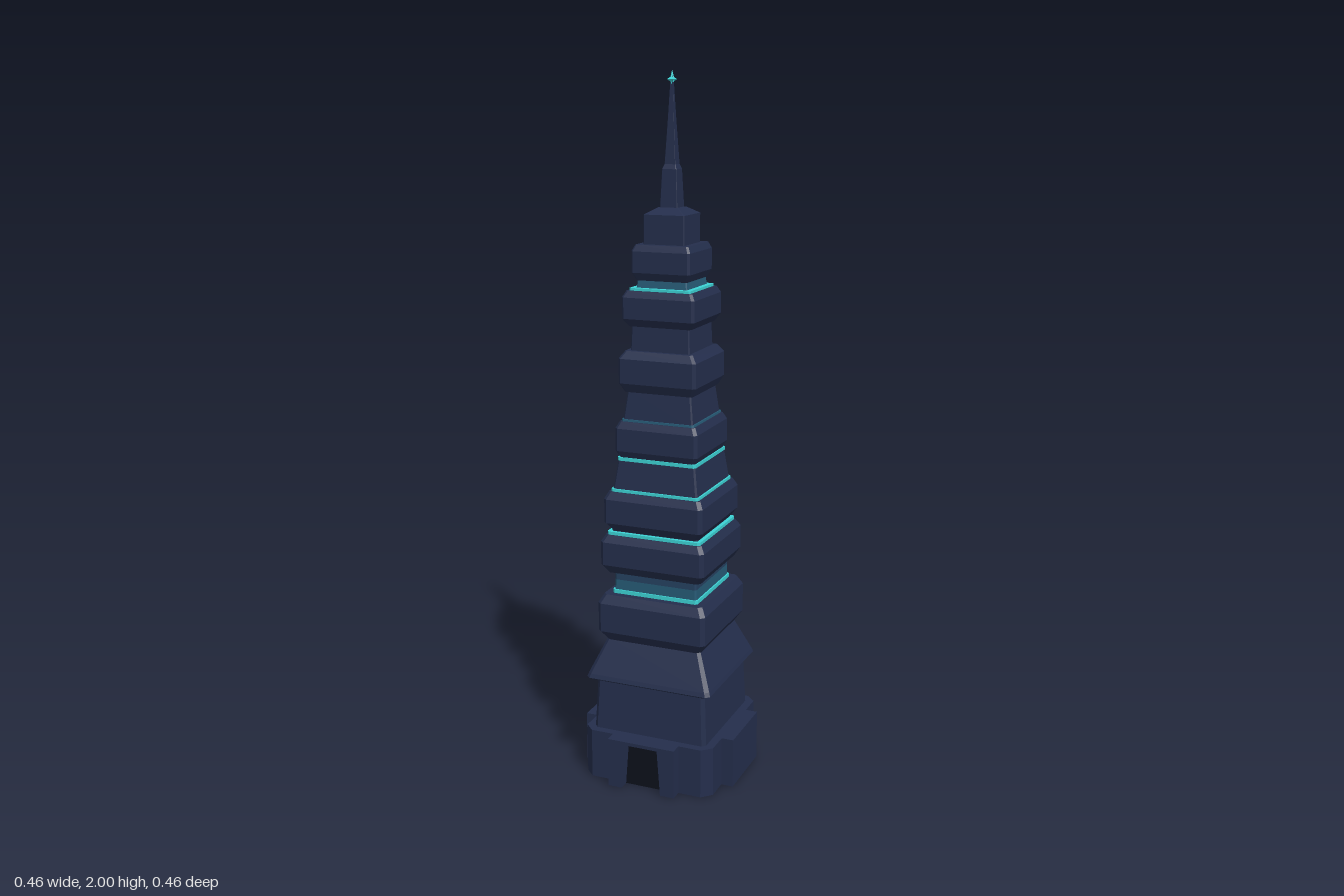
import * as THREE from 'three';

const mat = (name, color) => {
  const m = new THREE.MeshStandardMaterial({ color });
  m.name = name;
  return m;
};

// Flat-faced loft of square rings with cut corners; profile rows are [y, half width]
function loft(profile, cut) {
  const ring = ([y, w]) => {
    const c = w * (1 - cut);
    return [[w, -c], [w, c], [c, w], [-c, w], [-w, c], [-w, -c], [-c, -w], [c, -w]]
      .map(([x, z]) => [x, y, z]);
  };
  const rings = profile.map(ring);
  const out = [];
  const tri = (a, b, c) => out.push(...a, ...b, ...c);
  for (let i = 0; i < rings.length - 1; i++) {
    const lo = rings[i], hi = rings[i + 1];
    for (let j = 0; j < 8; j++) {
      const k = (j + 1) % 8;
      tri(lo[j], hi[j], hi[k]);
      tri(lo[j], hi[k], lo[k]);
    }
  }
  // End caps
  const first = rings[0], last = rings[rings.length - 1];
  for (let j = 1; j < 7; j++) {
    tri(first[0], first[j], first[j + 1]);
    tri(last[0], last[j + 1], last[j]);
  }
  const g = new THREE.BufferGeometry();
  g.setAttribute('position', new THREE.Float32BufferAttribute(out, 3));
  g.computeVertexNormals();
  return g;
}

export function createModel() {
  const navy = mat('navy cladding', 0x242e4c);
  const dark = mat('dark doorway', 0x0c101b);
  const teal = mat('teal glow', 0x3cd2d4);
  const dimTeal = mat('dim teal glass', 0x265a75);
  const deepTeal = mat('deep teal glass', 0x24405f);

  const tower = new THREE.Group();
  tower.name = 'tower';
  const add = (name, geometry, material, parent = tower) => {
    const mesh = new THREE.Mesh(geometry, material);
    mesh.name = name;
    parent.add(mesh);
    return mesh;
  };

  // Podium with cut corners
  const baseH = 0.145;
  add('podium', loft([[0, 0.197], [baseH, 0.197]], 0.14), navy);

  // Four porches; the front one has a doorway
  for (let i = 0; i < 4; i++) {
    const porch = new THREE.Group();
    porch.name = i === 0 ? 'frontPorch' : 'porch';
    porch.rotation.y = i * Math.PI / 2;
    const s = new THREE.Shape();
    s.moveTo(-0.102, 0);
    if (i === 0) {
      s.lineTo(-0.06, 0).lineTo(-0.05, 0.135).lineTo(0.05, 0.135).lineTo(0.06, 0);
    }
    s.lineTo(0.102, 0).lineTo(0.102, baseH).lineTo(-0.102, baseH).closePath();
    const g = new THREE.ExtrudeGeometry(s, { depth: 0.043, bevelEnabled: false });
    g.translate(0, 0, 0.189);
    add('porchWalls', g, navy, porch);
    if (i === 0) {
      const door = add('doorway', new THREE.BoxGeometry(0.124, 0.138, 0.004), dark, porch);
      door.position.set(0, 0.069, 0.198);
    }
    tower.add(porch);
  }

  // Lower shaft and flared skirt
  add('shaft', loft([[baseH, 0.173], [0.31, 0.165]], 0.06), navy);
  add('skirt', loft([[0.295, 0.178], [0.303, 0.19], [0.315, 0.186], [0.415, 0.143]], 0.06), navy);

  // Bulging tiers: bottom y, top y, half width, bottom and top half widths
  const tiers = [
    [0.41, 0.55, 0.164, 0.143, 0.15],
    [0.615, 0.727, 0.157, 0.142, 0.145],
    [0.737, 0.852, 0.149, 0.13, 0.138],
    [0.945, 1.052, 0.123, 0.112, 0.113],
    [1.135, 1.25, 0.115, 0.102, 0.1],
    [1.318, 1.416, 0.107, 0.093, 0.097],
    [1.443, 1.54, 0.086, 0.075, 0.078],
  ];
  for (const [y0, y1, w, w0, w1] of tiers) {
    const h = y1 - y0;
    add('tier', loft([[y0, w0], [y0 + h * 0.22, w], [y1 - h * 0.18, w], [y1, w1]], 0.07), navy);
  }

  // Recessed necks between tiers: bottom y, top y, bottom and top half widths
  const necks = [
    [0.725, 0.74, 0.13, 0.13],
    [0.852, 0.947, 0.128, 0.115],
    [1.05, 1.14, 0.105, 0.094],
    [1.245, 1.322, 0.088, 0.085],
  ];
  for (const [y0, y1, w0, w1] of necks) {
    add('neck', loft([[y0, w0], [y1, w1]], 0.04), navy);
  }

  // Glass bands, brighter towards the bottom
  add('glassBandLower', loft([[0.55, 0.126], [0.59, 0.125]], 0.04), dimTeal);
  add('glassBandUpper', loft([[0.59, 0.125], [0.62, 0.124]], 0.04), deepTeal);
  add('upperGlassBand', loft([[1.414, 0.076], [1.445, 0.072]], 0.04), dimTeal);

  // Thin glowing strips: centre y, half width, half height
  const strips = [
    [0.555, 0.13, 0.006], [0.731, 0.141, 0.005], [0.856, 0.132, 0.004],
    [0.945, 0.118, 0.005], [1.419, 0.09, 0.004],
  ];
  for (const [y, w, h] of strips) {
    add('lightStrip', loft([[y - h, w], [y + h, w]], 0.05), teal);
  }
  add('dimStrip', loft([[1.05, 0.109], [1.058, 0.108]], 0.05), dimTeal);

  // Crown, mast base and spire
  add('crown', loft([[1.535, 0.06], [1.62, 0.06], [1.638, 0.03]], 0.05), navy);
  add('mastBase', loft([[1.63, 0.026], [1.74, 0.021], [1.755, 0.015]], 0.06), navy);
  add('spire', loft([[1.75, 0.016], [1.87, 0.009], [1.985, 0.003]], 0.06), navy);

  // Pointed finial, wide from front to back
  const finial = new THREE.Group();
  finial.name = 'finial';
  finial.position.y = 1.975;
  for (const [x, y, z] of [[0.007, 0.009, 0.036], [0.007, 0.025, 0.01]]) {
    add('finialPoint', new THREE.OctahedronGeometry(1).scale(x, y, z), teal, finial);
  }
  tower.add(finial);

  return tower;
}
